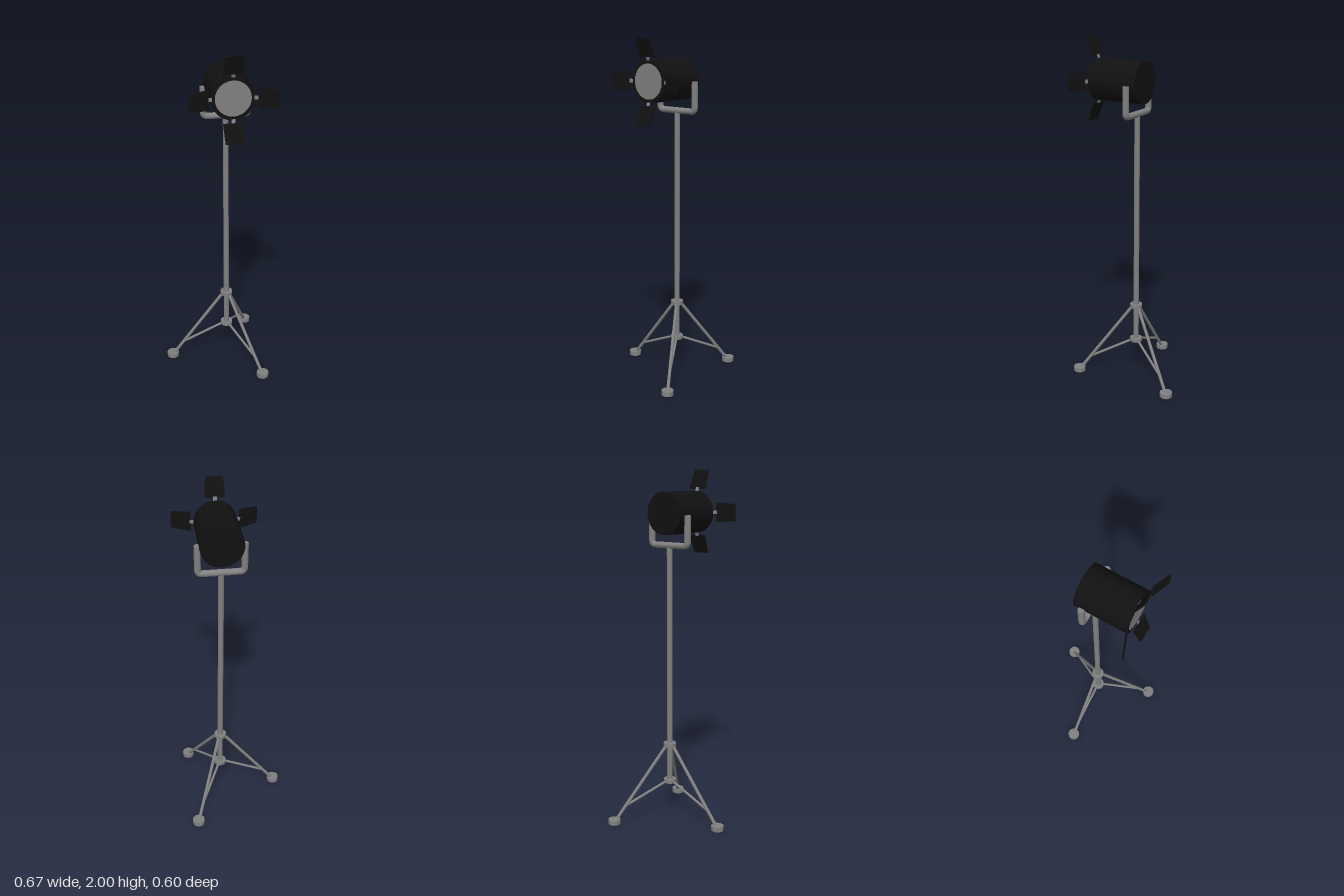
import * as THREE from 'three';

const metal = new THREE.MeshStandardMaterial({ color: 0x808080 });
const black = new THREE.MeshStandardMaterial({ color: 0x111111 });
const V = (x, y, z) => new THREE.Vector3(x, y, z);

function add(parent, name, geometry, material) {
  const mesh = new THREE.Mesh(geometry, material);
  mesh.name = name;
  parent.add(mesh);
  return mesh;
}

// Upright disc or post between two heights
function post(parent, name, r, y0, y1, z = 0) {
  const mesh = add(parent, name, new THREE.CylinderGeometry(r, r, y1 - y0, 32), metal);
  mesh.position.set(0, (y0 + y1) / 2, z);
  return mesh;
}

// Round-ended rod between two points
function rod(parent, name, a, b, r) {
  const d = b.clone().sub(a);
  const mesh = add(parent, name, new THREE.CapsuleGeometry(r, d.length(), 6, 16), metal);
  mesh.position.copy(a).add(b).multiplyScalar(0.5);
  mesh.quaternion.setFromUnitVectors(V(0, 1, 0), d.normalize());
  return mesh;
}

// U-shaped yoke with rounded corners
function yokePath(w, y0, y1, c) {
  const path = new THREE.CurvePath();
  path.add(new THREE.LineCurve3(V(-w, y1, 0), V(-w, y0 + c, 0)));
  path.add(new THREE.QuadraticBezierCurve3(V(-w, y0 + c, 0), V(-w, y0, 0), V(-w + c, y0, 0)));
  path.add(new THREE.LineCurve3(V(-w + c, y0, 0), V(w - c, y0, 0)));
  path.add(new THREE.QuadraticBezierCurve3(V(w - c, y0, 0), V(w, y0, 0), V(w, y0 + c, 0)));
  path.add(new THREE.LineCurve3(V(w, y0 + c, 0), V(w, y1, 0)));
  return path;
}

export function createModel() {
  const model = new THREE.Group();
  model.name = 'studioSpotlight';

  // Everything is arranged around the pole
  const stand = new THREE.Group();
  stand.name = 'stand';
  stand.position.set(0.012, 0, -0.079);
  model.add(stand);
  post(stand, 'pole', 0.016, 0.205, 1.587);
  post(stand, 'lowerCollar', 0.036, 0.204, 0.225);
  post(stand, 'upperCollar', 0.036, 0.426, 0.447);

  // Three legs, each with a brace and a round foot
  for (let i = 0; i < 3; i++) {
    const leg = new THREE.Group();
    leg.name = 'leg' + (i + 1);
    leg.rotation.y = 0.0635 + (i * Math.PI * 2) / 3;
    stand.add(leg);
    rod(leg, 'legTube', V(0, 0.436, 0.018), V(0, 0.022, 0.332), 0.0095);
    rod(leg, 'brace', V(0, 0.214, 0.015), V(0, 0.096, 0.276), 0.0075);
    post(leg, 'foot', 0.0355, 0, 0.026, 0.344);
  }

  // Head, turned toward the model's right
  const head = new THREE.Group();
  head.name = 'head';
  head.rotation.y = -0.466;
  stand.add(head);

  const yw = 0.1245, yTop = 1.755, yr = 0.018;
  add(head, 'yoke', new THREE.TubeGeometry(yokePath(yw, 1.588, yTop, 0.025), 80, yr, 20), metal);
  for (const s of [-1, 1]) {
    const cap = add(head, 'yokeEnd', new THREE.CircleGeometry(yr, 20), metal);
    cap.rotation.x = -Math.PI / 2;
    cap.position.set(s * yw, yTop, 0);
  }

  // Lamp, with local z along the beam and its origin at the front rim
  const lamp = new THREE.Group();
  lamp.name = 'lamp';
  lamp.position.set(0, 1.763, 0.247);
  head.add(lamp);
  const can = add(lamp, 'housing', new THREE.CylinderGeometry(0.117, 0.117, 0.296, 48), black);
  can.rotation.x = Math.PI / 2;
  can.position.z = -0.148;
  const lens = add(lamp, 'lens', new THREE.CircleGeometry(0.096, 48), metal);
  lens.position.z = 0.001;

  // Four tapered flaps around the rim, splayed outward
  const shape = new THREE.Shape([[-0.055, 0], [0.055, 0], [0.047, 0.11], [-0.047, 0.11]]
    .map(([x, y]) => new THREE.Vector2(x, y)));
  const flapGeo = new THREE.ExtrudeGeometry(shape, { depth: 0.007, bevelEnabled: false });
  flapGeo.translate(0, 0, -0.0035);
  for (let i = 0; i < 4; i++) {
    const side = new THREE.Group();
    side.name = 'flap' + (i + 1);
    side.rotation.z = (i * Math.PI) / 2;
    lamp.add(side);
    const flap = add(side, 'flapPlate', flapGeo, black);
    flap.position.set(0, 0.131, 0.006);
    flap.rotation.x = 0.37;
    const hinge = add(side, 'hinge', new THREE.BoxGeometry(0.02, 0.026, 0.004), metal);
    hinge.position.set(0, 0.124, 0.002);
    hinge.rotation.x = 0.3;
  }
  return model;
}
